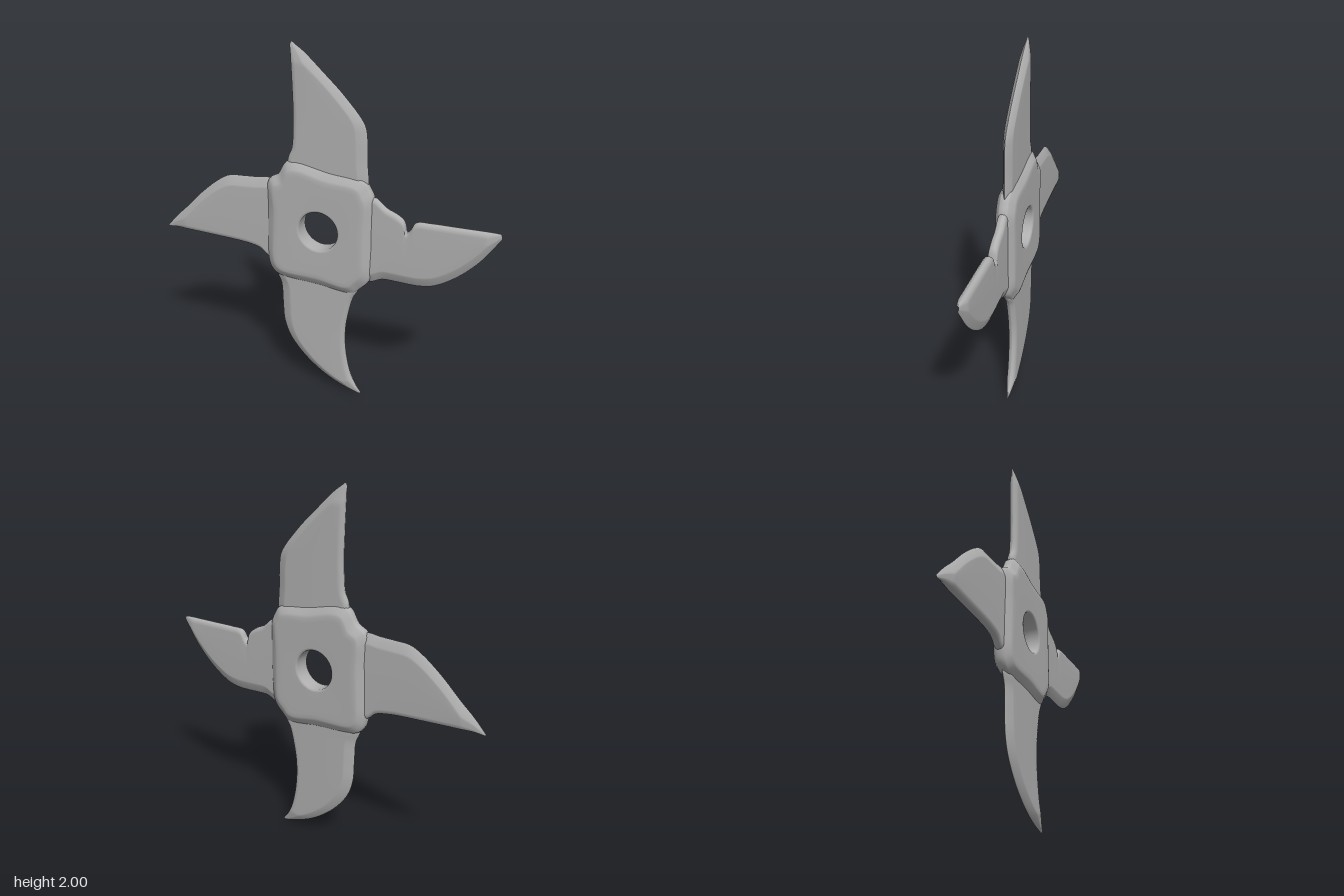
import * as THREE from 'three';
import { mergeGeometries, mergeVertices } from 'three/addons/utils/BufferGeometryUtils.js';

// Grid surface for one face; side = 1 for the front, -1 for its mirror at the back
function sheet(nu, nv, point, side) {
  const pos = [], index = [];
  for (let i = 0; i <= nu; i++) {
    for (let j = 0; j <= nv; j++) {
      const [x, y, z] = point(i / nu, j);
      pos.push(x, y, z * side);
    }
  }
  for (let i = 0; i < nu; i++) {
    for (let j = 0; j < nv; j++) {
      const a = i * (nv + 1) + j, b = a + 1, c = a + nv + 1, d = c + 1;
      if (side > 0) index.push(a, b, c, b, d, c);
      else index.push(a, c, b, b, c, d);
    }
  }
  const g = new THREE.BufferGeometry();
  g.setAttribute('position', new THREE.Float32BufferAttribute(pos, 3));
  g.setIndex(index);
  g.computeVertexNormals();
  return g;
}

const bothSides = (nu, nv, point) =>
  mergeGeometries([sheet(nu, nv, point, 1), sheet(nu, nv, point, -1)]);

const curve = (pts, closed = false) => new THREE.CatmullRomCurve3(
  pts.map(([x, y]) => new THREE.Vector3(x, y, 0)), closed, 'centripetal');

// Each row pairs a point on the spine with one on the cutting edge, root to tip
const BLADES = {
  topBlade: [
    [-0.17, 1.26, 0.24, 1.2], [-0.185, 1.39, 0.262, 1.31], [-0.16, 1.46, 0.255, 1.42],
    [-0.152, 1.56, 0.25, 1.55], [-0.15, 1.64, 0.235, 1.62], [-0.153, 1.75, 0.13, 1.75],
    [-0.157, 1.86, 0.015, 1.86], [-0.162, 1.95, -0.09, 1.955], [-0.165, 1.985, -0.14, 1.99],
    [-0.158, 2.0, -0.153, 2.0]],
  rightBlade: [
    [0.2, 1.22, 0.2, 0.78], [0.295, 1.245, 0.285, 0.755], [0.36, 1.197, 0.35, 0.782],
    [0.42, 1.17, 0.42, 0.784], [0.458, 1.14, 0.46, 0.783], [0.475, 1.082, 0.485, 0.782],
    [0.492, 1.095, 0.51, 0.782], [0.52, 1.142, 0.55, 0.783], [0.6, 1.15, 0.63, 0.8],
    [0.72, 1.152, 0.74, 0.868], [0.84, 1.154, 0.85, 0.975], [0.92, 1.155, 0.92, 1.075],
    [0.95, 1.153, 0.955, 1.128]],
  bottomBlade: [
    [0.2, 0.78, -0.24, 0.8], [0.225, 0.705, -0.265, 0.71], [0.19, 0.63, -0.24, 0.64],
    [0.165, 0.53, -0.233, 0.52], [0.15, 0.43, -0.225, 0.4], [0.149, 0.33, -0.19, 0.3],
    [0.162, 0.22, -0.1, 0.185], [0.185, 0.125, 0.02, 0.09], [0.215, 0.06, 0.13, 0.035],
    [0.25, 0.012, 0.235, 0.002]],
  leftBlade: [
    [-0.22, 0.8, -0.22, 1.25], [-0.31, 0.8, -0.3, 1.27], [-0.36, 0.838, -0.37, 1.262],
    [-0.44, 0.856, -0.45, 1.257], [-0.53, 0.863, -0.54, 1.248], [-0.61, 0.866, -0.61, 1.21],
    [-0.72, 0.87, -0.72, 1.12], [-0.82, 0.873, -0.82, 1.02], [-0.9, 0.875, -0.9, 0.945],
    [-0.955, 0.868, -0.962, 0.876]],
};

// Flat blade with a rounded spine and a ground bevel on the other edge
function bladeGeometry(rows) {
  const spine = curve(rows.map(r => [r[0], r[1]]));
  const edge = curve(rows.map(r => [r[2], r[3]]));
  const h = 0.025;
  return bothSides(64, 8, (t, j) => {
    const s = spine.getPoint(t), e = edge.getPoint(t);
    const w = Math.max(s.distanceTo(e), 1e-4);
    const k = Math.min(1, w / 0.13); // bevels and thickness shrink at the tip
    const offset = [0, 0.003 * k, 0.012 * k, 0.03 * k, w / 2,
      w - 0.062 * k, w - 0.05 * k, w - 0.012 * k, w][j];
    const z = [0, 0.012, 0.021, h, h, h, 0.023, 0.008, 0][j] * k;
    const p = s.lerp(e, offset / w);
    return [p.x, p.y, z];
  });
}

// Thick centre block with sloped shoulders and a round bore
function hubGeometry() {
  const outline = curve([
    [0.3, 0.9], [0.3, 1.1], [0.295, 1.24], [0.275, 1.285], [0.24, 1.33], [0.05, 1.36],
    [-0.14, 1.392], [-0.195, 1.375], [-0.24, 1.305], [-0.295, 1.265], [-0.305, 1.1],
    [-0.312, 0.9], [-0.308, 0.79], [-0.29, 0.735], [-0.25, 0.702], [0, 0.68],
    [0.19, 0.668], [0.235, 0.705], [0.285, 0.765]], true);
  const cx = 0, cy = 1.018, r = 0.11;
  return bothSides(112, 9, (t, j) => {
    const p = outline.getPoint(t % 1);
    const R = Math.hypot(p.x - cx, p.y - cy);
    const d = [r, r, r + 0.004, r + 0.014, R - 0.085, R - 0.06,
      R - 0.045, R - 0.012, R - 0.003, R][j];
    const z = [0, 0.042, 0.048, 0.051, 0.052, 0.051, 0.047, 0.027, 0.019, 0][j];
    return [cx + (p.x - cx) * d / R, cy + (p.y - cy) * d / R, z];
  });
}

export function createModel() {
  const group = new THREE.Group();
  group.name = 'throwingStar';
  const steel = new THREE.MeshStandardMaterial({ color: 0xb0b0b0 });
  steel.name = 'steel';

  const add = (name, geometry) => {
    const mesh = new THREE.Mesh(geometry, steel);
    mesh.name = name;
    group.add(mesh);
  };

  // Hub, welded so its rim and bore shade smoothly
  const hub = hubGeometry();
  hub.deleteAttribute('normal');
  const welded = mergeVertices(hub, 1e-5);
  welded.computeVertexNormals();
  add('hub', welded);

  // Four blades
  for (const [name, rows] of Object.entries(BLADES)) add(name, bladeGeometry(rows));
  return group;
}
